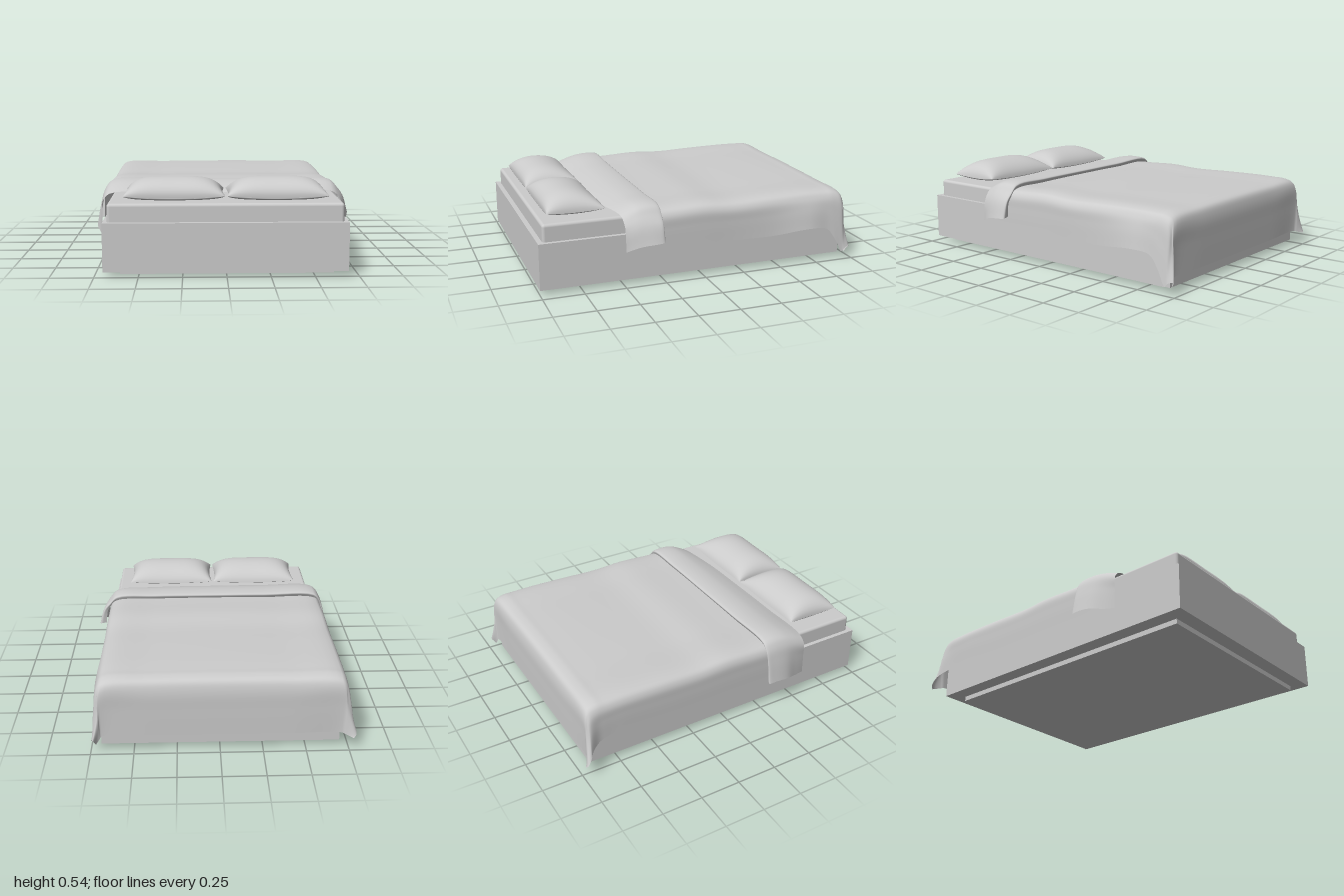
import * as THREE from 'three';
import { RoundedBoxGeometry } from 'three/addons/geometries/RoundedBoxGeometry.js';
import { mergeGeometries } from 'three/addons/utils/BufferGeometryUtils.js';

const V = (x, y, z) => new THREE.Vector3(x, y, z);

// Smooth sheet from a function of (u, v), both 0..1
function sheet(fn, nu, nv) {
  const pos = [], index = [];
  for (let j = 0; j <= nv; j++) {
    for (let i = 0; i <= nu; i++) {
      pos.push(...fn(i / nu, j / nv).toArray());
      if (i < nu && j < nv) {
        const a = j * (nu + 1) + i, b = a + nu + 1;
        index.push(a, b, a + 1, b, b + 1, a + 1);
      }
    }
  }
  const g = new THREE.BufferGeometry();
  g.setAttribute('position', new THREE.Float32BufferAttribute(pos, 3));
  g.setIndex(index);
  g.computeVertexNormals();
  return g;
}

// Cloth lofted through rows of points
function cloth(rows, nu, nv) {
  const columns = rows[0].map((_, i) => new THREE.CatmullRomCurve3(rows.map(r => r[i])));
  const across = new Map();
  return sheet((u, v) => {
    if (!across.has(v)) across.set(v, new THREE.CatmullRomCurve3(columns.map(c => c.getPoint(v))));
    return across.get(v).getPoint(u);
  }, nu, nv);
}

// Blanket row over the bed: height, hem heights and outward flare on each side
function bedRow(z, y, hemL, hemR, flareL = 0, flareR = 0) {
  return [
    V(-0.738 - flareL, hemL, z), V(-0.738 - flareL / 2, (hemL + y) / 2, z),
    V(-0.732, y - 0.045, z), V(-0.70, y - 0.008, z),
    V(-0.4, y, z), V(0, y + 0.003, z), V(0.4, y, z),
    V(0.67, y - 0.008, z), V(0.705, y - 0.045, z),
    V(0.71 + flareR / 2, (hemR + y) / 2, z), V(0.71 + flareR, hemR, z),
  ];
}

// Blanket row hanging at the foot, its ends running out to the corner tails
function footRow(y, z, tailL, tailR) {
  const L = V(-0.71, y, z), R = V(0.685, y, z);
  return [
    tailL, L.clone().lerp(tailL, 0.66), L.clone().lerp(tailL, 0.33), L,
    V(-0.4, y, z), V(0, y, z), V(0.4, y, z),
    R, R.clone().lerp(tailR, 0.33), R.clone().lerp(tailR, 0.66), tailR,
  ];
}

// Folded-back band: centre height, side reach and hem height on each side
function foldRow(zL, zR, y, xL, hemL, xR, hemR) {
  const z = t => zL + (zR - zL) * t;
  return [
    V(xL, hemL, z(0)), V((xL - 0.735) / 2, (hemL + y) / 2, z(0)),
    V(-0.735, y - 0.05, z(0)), V(-0.69, y - 0.005, z(0.02)),
    V(-0.35, y, z(0.05)), V(0, y, z(0.1)), V(0.4, y, z(0.3)),
    V(0.66, y - 0.005, z(0.9)), V(0.71, y - 0.05, z(1)),
    V((xR + 0.72) / 2, (hemR + y) / 2, z(1)), V(xR, hemR, z(1)),
  ];
}

// Plump cushion with a pinched outline and a flatter underside
function pillowGeometry() {
  const half = (height) => sheet((s, t) => {
    const u = Math.sin((s - 0.5) * Math.PI), v = Math.sin((t - 0.5) * Math.PI);
    const puff = Math.sqrt(Math.max(0, (1 - u ** 4) * (1 - v * v)));
    const seam = 0.012 * u * u * v * v;
    return V(0.29 * u * (1 - 0.045 * (1 - v * v)),
      seam + height * puff,
      0.175 * v * (1 - 0.03 * (1 - u * u)) + 0.02 * puff);
  }, 24, 20);
  return mergeGeometries([half(0.108), half(-0.022)]);
}

export function createModel() {
  const bed = new THREE.Group();
  bed.name = 'bed';
  const grey = new THREE.MeshStandardMaterial({ color: 0xcccccc, side: THREE.DoubleSide });
  grey.name = 'light grey';

  const add = (name, geometry, x = 0, y = 0, z = 0) => {
    const mesh = new THREE.Mesh(geometry, grey);
    mesh.name = name;
    mesh.position.set(x, y, z);
    bed.add(mesh);
    return mesh;
  };

  // Frame and mattress
  add('plinth', new THREE.BoxGeometry(1.23, 0.03, 1.75), 0.005, 0.015, 0.035);
  add('bedBase', new THREE.BoxGeometry(1.39, 0.28, 1.93), -0.005, 0.17, 0.035);
  add('mattress', new RoundedBoxGeometry(1.34, 0.205, 1.88, 3, 0.018), -0.005, 0.3125, 0.03);

  // Blanket, from the foot hem up and along to the head
  add('blanket', cloth([
    footRow(0.09, -0.95, V(-0.775, 0.07, -0.985), V(0.72, 0.04, -0.96)),
    footRow(0.25, -0.952, V(-0.79, 0.09, -0.975), V(0.735, 0.08, -0.985)),
    footRow(0.37, -0.95, V(-0.785, 0.13, -0.95), V(0.745, 0.07, -0.95)),
    bedRow(-0.93, 0.427, 0.16, 0.05, 0.03, 0.035),
    bedRow(-0.88, 0.446, 0.19, 0.14, 0.005, 0.03),
    bedRow(-0.82, 0.448, 0.21, 0.21, 0, 0.025),
    bedRow(-0.7, 0.45, 0.22, 0.225, 0, 0.035),
    bedRow(-0.45, 0.446, 0.2, 0.2, 0, 0.01),
    bedRow(-0.2, 0.439, 0.2, 0.2),
    bedRow(0, 0.449, 0.2, 0.2),
    bedRow(0.2, 0.441, 0.2, 0.2),
    bedRow(0.34, 0.437, 0.2, 0.2),
    bedRow(0.42, 0.43, 0.22, 0.22),
  ], 60, 60), 0, 0, 0);

  // Folded-back band near the pillows
  add('blanketFold', cloth([
    foldRow(0.29, 0.275, 0.438, -0.755, 0.23, 0.74, 0.27),
    foldRow(0.28, 0.27, 0.462, -0.785, 0.2, 0.78, 0.265),
    foldRow(0.33, 0.32, 0.472, -0.79, 0.2, 0.785, 0.26),
    foldRow(0.42, 0.40, 0.466, -0.785, 0.19, 0.77, 0.25),
    foldRow(0.50, 0.45, 0.445, -0.76, 0.17, 0.755, 0.235),
    foldRow(0.57, 0.495, 0.419, -0.74, 0.16, 0.735, 0.215),
  ], 60, 24));

  // Pillows
  for (const [name, x] of [['rightPillow', -0.297], ['leftPillow', 0.293]]) {
    add(name, pillowGeometry(), x, 0.436, 0.748);
  }
  return bed;
}
